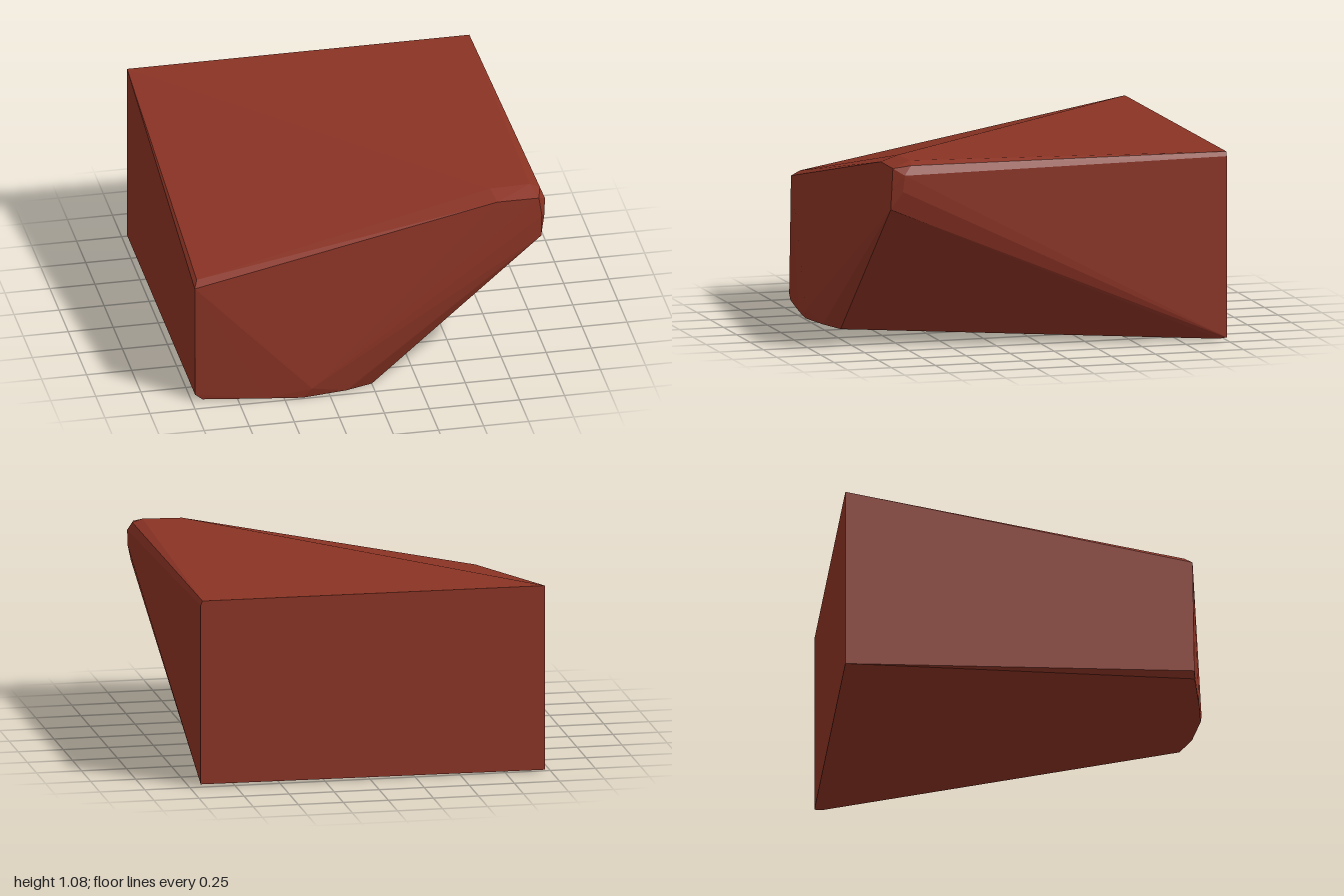
import * as THREE from 'three';
import { ConvexGeometry } from 'three/addons/geometries/ConvexGeometry.js';

export function createModel() {
  const group = new THREE.Group();
  group.name = 'rockChunk';

  const corners = [
    // back face, slightly eased at the ends
    [-0.97, 1.04, -1], [0.93, 1.045, -1], [0.94, 1.02, -1], [0.94, 0.02, -1],
    [0.925, 0.012, -0.96], [-0.97, 0.01, -1],
    // raised front corner with its bevels
    [0.68, 1.075, 0.79], [0.9, 1.08, 0.79], [0.955, 1.06, 0.8],
    [0.7, 1.045, 0.895], [0.93, 1.045, 0.895], [0.975, 1.01, 0.84],
    [0.97, 0.92, 0.85], [0.945, 0.94, 0.905], [0.94, 0.82, 0.91],
    // low front corner
    [-0.96, 0.72, 0.85], [-0.98, 0.69, 0.895], [-0.98, 0.04, 0.905],
    [-0.94, 0.01, 0.91],
    // bulging lower front edge
    [-0.6, 0.008, 0.965], [-0.4, 0.004, 0.99], [-0.35, 0.06, 1],
    [-0.15, 0.01, 0.965], [0, 0.006, 0.91],
  ].map(p => new THREE.Vector3(...p));

  const body = new THREE.Mesh(
    new ConvexGeometry(corners),
    new THREE.MeshStandardMaterial({ color: 0x8a3324, flatShading: true })
  );
  body.name = 'chunkBody';

  // rest on the ground
  body.geometry.computeBoundingBox();
  body.geometry.translate(0, -body.geometry.boundingBox.min.y, 0);
  group.add(body);
  return group;
}
